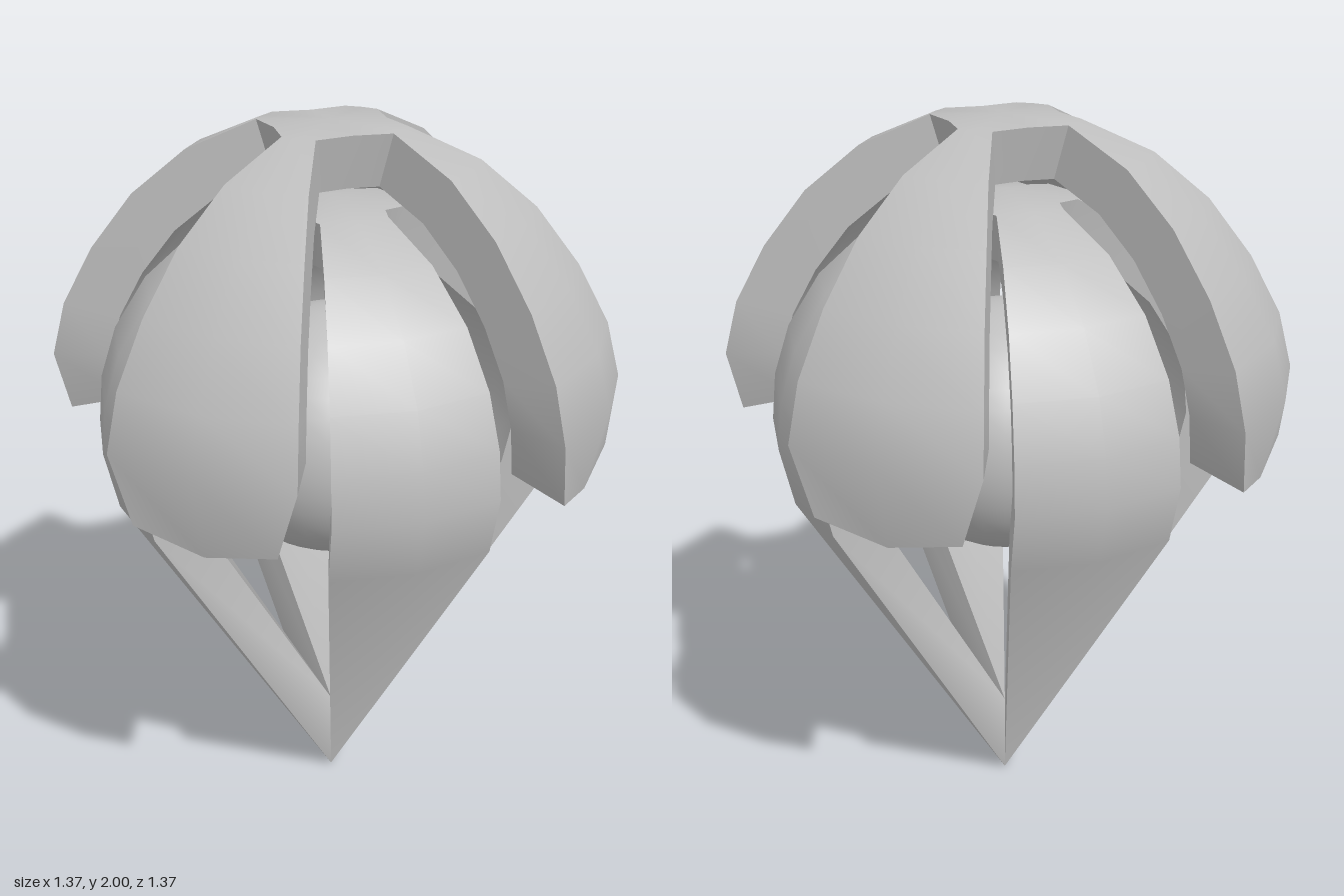
import * as THREE from 'three';
import { toCreasedNormals } from 'three/addons/utils/BufferGeometryUtils.js';

// Thick four-petal shell. Each row, from the top down:
// [middle radius, middle y, edge distance, half width, edge y]
function petalShell({ rows, turn, apexY, notch, centreY, inner }) {
  const pos = [];
  const tri = (a, b, c) => {
    const n = b.clone().sub(a).cross(c.clone().sub(a));
    if (n.length() > 1e-8) [a, b, c].forEach((p) => pos.push(p.x, p.y, p.z));
  };
  const inward = (p) => new THREE.Vector3(p.x * inner, centreY + (p.y - centreY) * inner, p.z * inner);
  // Outer face together with its matching inner face
  const skin = (a, b, c) => {
    tri(a, b, c);
    tri(inward(a), inward(c), inward(b));
  };
  // Rim that closes the thickness along an outer edge
  const rim = (a, b) => {
    tri(b, a, inward(a));
    tri(b, inward(a), inward(b));
  };
  const place = (f, w, y, a) => new THREE.Vector3(
    f * Math.sin(a) + w * Math.cos(a), y, f * Math.cos(a) - w * Math.sin(a));

  const petals = [0, 1, 2, 3].map((k) => {
    const a = turn + k * Math.PI / 2;
    return rows.map(([r, y, f, w, ey]) => [place(f, -w, ey, a), place(r, 0, y, a), place(f, w, ey, a)]);
  });
  const apex = new THREE.Vector3(0, apexY, 0);

  petals.forEach((grid, k) => {
    // Petal surface and long side rims
    for (let i = 0; i < grid.length - 1; i++) {
      const t = grid[i], b = grid[i + 1];
      for (let j = 0; j < 2; j++) {
        skin(t[j], b[j], b[j + 1]);
        skin(t[j], b[j + 1], t[j + 1]);
      }
      rim(t[0], b[0]);
      rim(b[2], t[2]);
    }
    // Petal end
    const end = grid[grid.length - 1];
    rim(end[0], end[1]);
    rim(end[1], end[2]);
    // Hub sector and the notch beside the petal
    const [l, m, r] = grid[0];
    const next = petals[(k + 1) % 4][0][0];
    const s = place(notch, 0, r.y, turn + k * Math.PI / 2 + Math.PI / 4);
    skin(apex, l, m);
    skin(apex, m, r);
    skin(apex, r, s);
    skin(apex, s, next);
    rim(r, s);
    rim(s, next);
  });

  const geo = new THREE.BufferGeometry();
  geo.setAttribute('position', new THREE.Float32BufferAttribute(pos, 3));
  return toCreasedNormals(geo, 0.75);
}

export function createModel() {
  const group = new THREE.Group();
  const grey = new THREE.MeshStandardMaterial({ color: 0xbfbfbf });
  grey.name = 'grey';
  const add = (name, geo) => {
    const mesh = new THREE.Mesh(geo, grey);
    mesh.name = name;
    group.add(mesh);
    return mesh;
  };

  // Outer cap: diagonal petals, given by the edge's [x, z, y]
  const capEdges = [
    [0.1, 0.164, 1.99], [0.178, 0.332, 1.91], [0.236, 0.464, 1.793],
    [0.284, 0.57, 1.645], [0.318, 0.649, 1.49], [0.335, 0.686, 1.342],
  ];
  const capRows = capEdges.map(([x, z, y]) => [
    Math.hypot(x, z), y, (x + z) * Math.SQRT1_2, (z - x) * Math.SQRT1_2, y]);
  capRows.push([0.717, 1.12, 0.717, 0.193, 1.162]);
  add('outerPetalCap', petalShell({
    rows: capRows, turn: Math.PI / 4, apexY: 2, notch: 0.15, centreY: 1.34, inner: 0.79,
  }));

  // Inner cage: round above, tapering to one point at the bottom
  const cageRows = [
    [0.187, 1.785], [0.355, 1.705], [0.487, 1.586], [0.575, 1.447], [0.62, 1.31], [0.634, 1.18],
  ].map(([r, y]) => {
    // Half width grows with distance from the axis
    let f = r;
    for (let i = 0; i < 12; i++) f = Math.sqrt(r * r - (0.04 + 0.304 * f) ** 2);
    return [r, y, f, 0.04 + 0.304 * f, y];
  });
  cageRows.push([0.6, 1.02, 0.56, 0.216, 1.02], [0, 0, 0, 0, 0]);
  add('innerPetalCage', petalShell({
    rows: cageRows, turn: 0, apexY: 1.81, notch: 0.15, centreY: 1.18, inner: 0.79,
  }));

  // Ball held inside the cage
  add('coreBall', new THREE.SphereGeometry(0.345, 32, 20)).position.y = 1.16;

  return group;
}
